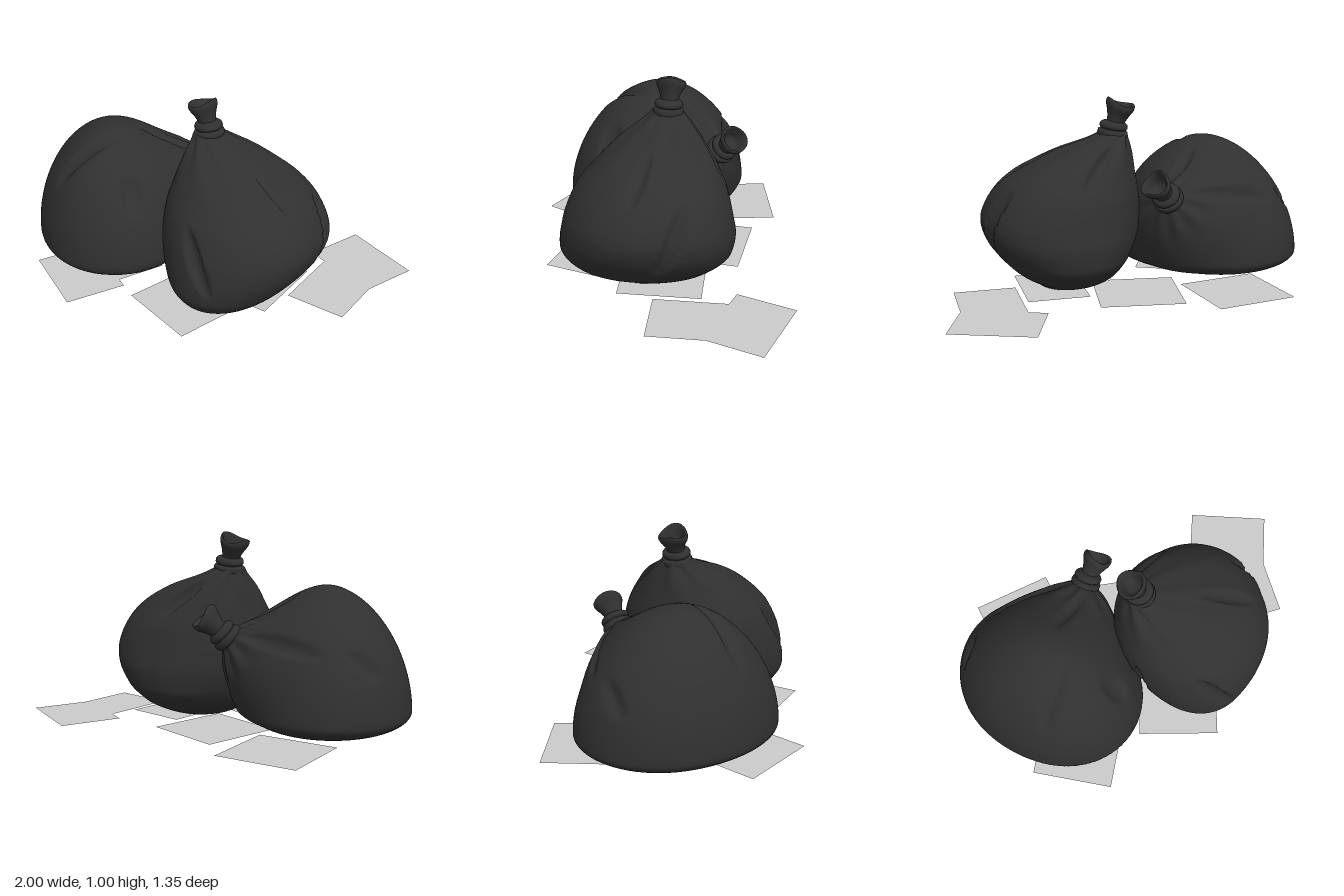
import * as THREE from 'three';
import { mergeVertices } from 'three/addons/utils/BufferGeometryUtils.js';

const V = (x, y, z) => new THREE.Vector3(x, y, z);
const bagMat = new THREE.MeshStandardMaterial({ color: 0x303030, side: THREE.DoubleSide });
const paperMat = new THREE.MeshStandardMaterial({ color: 0xcccccc, side: THREE.DoubleSide });

// Smooth closed skin: moves each vertex of a unit sphere by rule(), then presses in the folds
function skin(name, rule, centre, folds) {
  let geo = new THREE.SphereGeometry(1, 144, 96);
  geo.deleteAttribute('uv');
  geo.deleteAttribute('normal');
  geo = mergeVertices(geo, 1e-5);
  const pos = geo.attributes.position;
  const creases = folds.map(([c, d, width, depth]) => {
    const at = V(...c), along = V(...d), half = along.length() / 2;
    along.normalize();
    const out = at.clone().sub(centre).normalize();
    const across = out.clone().cross(along).normalize();
    return { at, along, half, out, across, width, depth };
  });
  for (let i = 0; i < pos.count; i++) {
    const p = rule(V(0, 0, 0).fromBufferAttribute(pos, i));
    const push = V(0, 0, 0);
    for (const f of creases) {
      const d = p.clone().sub(f.at);
      if (Math.abs(d.dot(f.out)) > 0.25) continue;
      const u = d.dot(f.along) / f.half, v = d.dot(f.across) / f.width;
      const k = Math.max(0, 1 - u * u - v * v);
      push.addScaledVector(f.out, -f.depth * Math.pow(k, 0.7));
    }
    p.add(push);
    pos.setXYZ(i, p.x, p.y, p.z);
  }
  geo.computeVertexNormals();
  const mesh = new THREE.Mesh(geo, bagMat);
  mesh.name = name;
  return mesh;
}

// Tied collar with a flared open mouth
function neck(name, at, collarAxis, mouthAxis) {
  const g = new THREE.Group();
  g.name = name;
  const up = V(0, 1, 0);
  const lathe = (pts, axis, part) => {
    const curve = new THREE.SplineCurve(pts.map(([r, y]) => new THREE.Vector2(r, y)));
    const m = new THREE.Mesh(new THREE.LatheGeometry(curve.getPoints(28), 24), bagMat);
    m.quaternion.setFromUnitVectors(up, axis.clone().normalize());
    m.name = part;
    g.add(m);
    return m;
  };
  lathe([[0.05, -0.055], [0.076, -0.035], [0.077, -0.01], [0.064, 0],
    [0.073, 0.012], [0.066, 0.032], [0.035, 0.045]], collarAxis, 'collar');
  const mouth = lathe([[0.05, 0], [0.046, 0.04], [0.058, 0.08], [0.074, 0.115], [0.074, 0.138],
    [0.064, 0.14], [0.05, 0.11], [0.035, 0.08], [0, 0.07]], mouthAxis, 'mouth');
  // uneven, gathered rim
  const p = mouth.geometry.attributes.position;
  for (let i = 0; i < p.count; i++) {
    const a = Math.atan2(p.getZ(i), p.getX(i)), k = Math.max(0, p.getY(i) - 0.06) / 0.09;
    const s = 1 + 0.08 * k * Math.sin(3 * a + 1);
    p.setXYZ(i, p.getX(i) * s, p.getY(i) + 0.01 * k * Math.cos(2 * a), p.getZ(i) * s);
  }
  mouth.geometry.computeVertexNormals();
  g.position.copy(at);
  return g;
}

// Upright bag lofted through levels [y, xMin, xMax, zMin, zMax]
function uprightBag() {
  const levels = [
    [0.84, 0.01, 0.01, -0.03, -0.03], [0.82, -0.05, 0.07, -0.09, 0.04],
    [0.78, -0.06, 0.15, -0.13, 0.09], [0.7, -0.085, 0.37, -0.21, 0.22],
    [0.6, -0.11, 0.55, -0.28, 0.34], [0.5, -0.13, 0.64, -0.33, 0.43],
    [0.38, -0.135, 0.69, -0.36, 0.485], [0.28, -0.12, 0.67, -0.375, 0.51],
    [0.18, -0.08, 0.6, -0.36, 0.52], [0.09, -0.02, 0.51, -0.28, 0.47],
    [0.035, 0.06, 0.42, -0.17, 0.33], [0.01, 0.11, 0.39, -0.09, 0.25],
    [0, 0.25, 0.25, 0.07, 0.07]];
  const xs = new THREE.CatmullRomCurve3(levels.map(l => V(l[1], l[0], l[2])));
  const zs = new THREE.CatmullRomCurve3(levels.map(l => V(l[3], 0, l[4])));
  const rule = (p) => {
    const t = Math.acos(THREE.MathUtils.clamp(p.y, -1, 1)) / Math.PI;
    const a = Math.atan2(p.z, p.x), x = xs.getPoint(t), z = zs.getPoint(t);
    const gather = 0.06 * Math.sin(8 * a) * Math.max(0, 1 - Math.abs(t - 0.17) / 0.15);
    // fuller towards the back left corner
    const full = Math.cos(a) > 0 ? 0.07 * Math.max(0, -Math.sin(2 * a)) : 0;
    const s = 1 + gather + full;
    return V((x.x + x.z) / 2 + Math.cos(a) * (x.z - x.x) / 2 * s,
      Math.max(0, x.y),
      (z.x + z.z) / 2 + Math.sin(a) * (z.z - z.x) / 2 * s);
  };
  const g = new THREE.Group();
  g.name = 'uprightBag';
  g.add(skin('uprightBagBody', rule, V(0.25, 0.3, 0.06), [
    [[0.24, 0.37, 0.46], [0.19, -0.31, 0.05], 0.045, 0.03],
    [[0.64, 0.38, -0.06], [0, 0.36, -0.15], 0.05, 0.04],
    [[0.17, 0.64, -0.22], [0.16, -0.1, -0.2], 0.035, 0.025],
    [[0.44, 0.6, 0.09], [0.3, -0.15, 0.09], 0.04, 0.025],
    [[-0.07, 0.28, 0.24], [0.06, -0.36, 0.03], 0.045, 0.035]]));
  g.add(neck('uprightBagNeck', V(0.015, 0.83, -0.03), V(-0.15, 1, -0.05), V(-0.32, 1, -0.08)));
  return g;
}

// Leaning bag: a low dome drawn out to a cone at the tied neck
function leaningBag() {
  const centre = V(-0.53, 0.15, 0.05), tie = V(-0.17, 0.52, -0.315);
  const toTie = tie.clone().sub(centre), reach = toTie.length();
  toTie.normalize();
  const turn = new THREE.Quaternion().setFromUnitVectors(V(0, 1, 0), toTie);
  const rule = (p) => {
    const a = Math.atan2(p.z, p.x);
    const d = p.clone().applyQuaternion(turn);
    // plan is an oval lying along the diagonal
    const oval = 1 + 0.1 * Math.sin(2 * Math.atan2(d.z, d.x));
    const h = Math.hypot(d.x / 0.46, d.z / 0.48) / oval, e = d.y > 0 ? 1.8 : 1.9;
    const v = Math.abs(d.y) / (d.y > 0 ? 0.605 : 0.125);
    let r = Math.pow(Math.pow(h, e) + Math.pow(v, e), -1 / e);
    const angle = Math.acos(THREE.MathUtils.clamp(d.dot(toTie), -1, 1));
    const pull = Math.pow(Math.max(0, 1 - angle / 0.9), 1.5);
    r += (reach - r) * pull;
    r *= 1 + 0.012 * Math.sin(9 * a) * Math.max(0, 1 - Math.abs(angle - 0.25) / 0.22);
    return d.multiplyScalar(r).add(centre);
  };
  const g = new THREE.Group();
  g.name = 'leaningBag';
  g.add(skin('leaningBagBody', rule, centre, [
    [[-0.55, 0.62, 0.25], [0.27, 0.22, -0.3], 0.045, 0.03],
    [[-0.32, 0.64, -0.14], [0.24, -0.06, -0.2], 0.035, 0.025],
    [[-0.52, 0.5, -0.33], [0.46, 0.02, 0.02], 0.045, 0.025],
    [[-0.88, 0.42, -0.18], [0.15, 0.12, -0.08], 0.04, 0.025],
    [[-0.27, 0.5, 0.28], [0.06, -0.2, 0.05], 0.06, 0.03]]));
  g.add(neck('leaningBagNeck', tie, V(0.36, 0.45, -0.32), V(0.1, 0.1, -0.07)));
  return g;
}

export function createModel() {
  const model = new THREE.Group();
  model.add(uprightBag(), leaningBag());
  // Loose sheets on the ground: centre x, centre z, width, depth, turn
  const sheets = [
    [-0.535, -0.39, 0.43, 0.42, 0.09], [-0.045, -0.24, 0.43, 0.42, -0.21],
    [0.735, -0.445, 0.43, 0.32, -0.43], [0.71, -0.17, 0.32, 0.43, -0.08],
    [-0.52, 0.42, 0.43, 0.32, -0.555], [0.105, 0.33, 0.43, 0.42, -0.36],
    [0.35, -0.01, 0.32, 0.43, -0.08], [-0.44, 0.175, 0.43, 0.32, -0.51]];
  sheets.forEach(([x, z, w, d, turn], i) => {
    const sheet = new THREE.Mesh(new THREE.PlaneGeometry(w, d).rotateX(-Math.PI / 2), paperMat);
    sheet.position.set(x, 0.009 + i * 0.0005, z);
    sheet.rotation.y = turn;
    sheet.name = 'paperSheet' + (i + 1);
    model.add(sheet);
  });
  return model;
}
